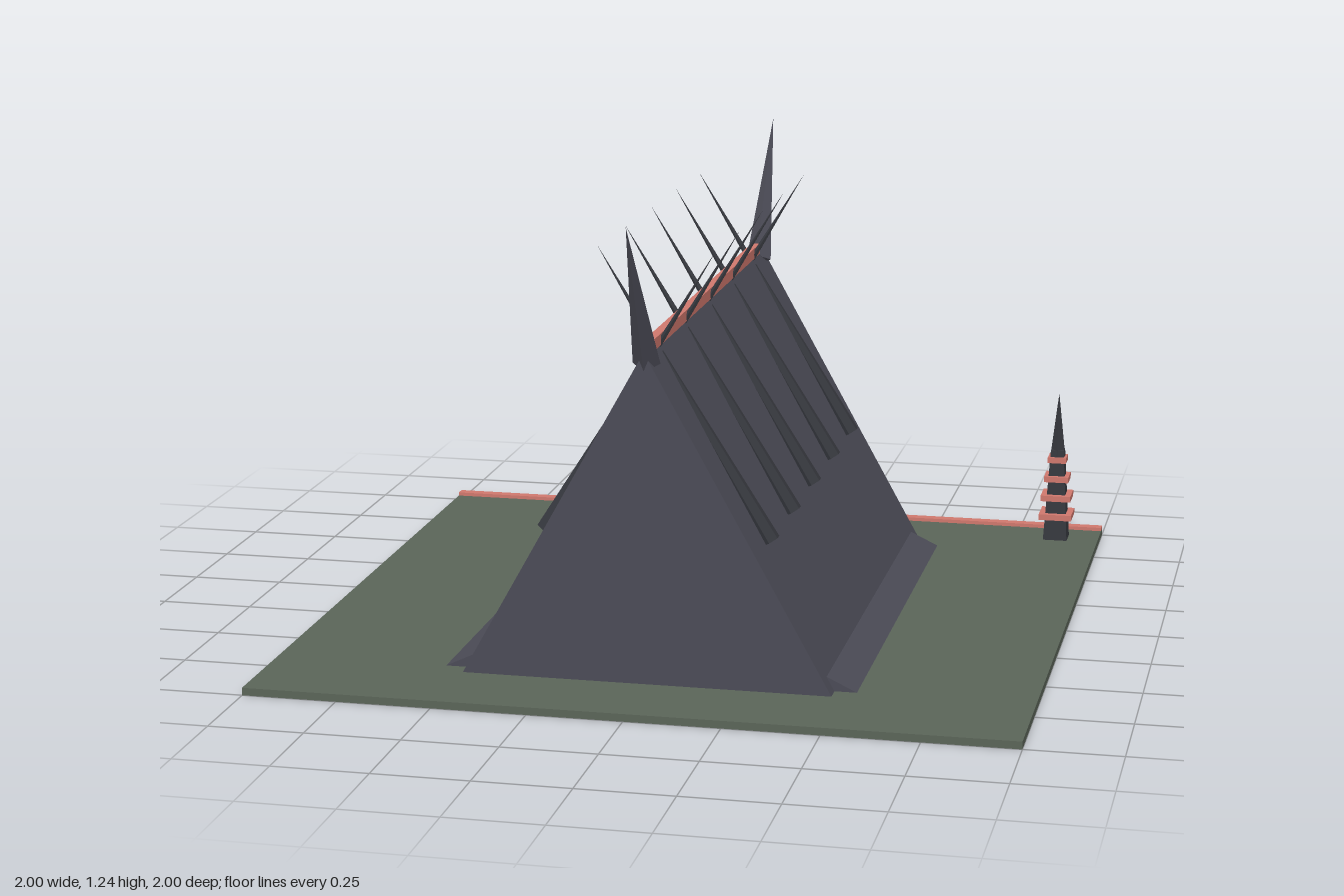
import * as THREE from 'three';

const mat = (name, color) => {
  const m = new THREE.MeshStandardMaterial({ color });
  m.name = name;
  return m;
};

export function createModel() {
  const model = new THREE.Group();
  model.name = 'spikedLonghouse';
  const slate = mat('slate', 0x4b4b56);
  const dark = mat('darkIron', 0x36383e);
  const coral = mat('coral', 0xcf776d);
  const moss = mat('moss', 0x5a6458);

  const add = (name, geometry, material, x = 0, y = 0, z = 0, parent = model) => {
    // Unshared vertices give flat faces
    const flat = geometry.index ? geometry.toNonIndexed() : geometry;
    flat.computeVertexNormals();
    const mesh = new THREE.Mesh(flat, material);
    mesh.name = name;
    mesh.position.set(x, y, z);
    parent.add(mesh);
    return mesh;
  };

  // Prism along z from a profile in x and y
  const prism = (points, halfLength) => {
    const shape = new THREE.Shape(points.map(([x, y]) => new THREE.Vector2(x, y)));
    return new THREE.ExtrudeGeometry(shape, { depth: 2 * halfLength, bevelEnabled: false })
      .translate(0, 0, -halfLength);
  };

  // Spike from a base centre to a tip
  const spike = (name, from, to, radius, sides, turn, material) => {
    const a = new THREE.Vector3(...from);
    const axis = new THREE.Vector3(...to).sub(a);
    const length = axis.length();
    const geo = new THREE.ConeGeometry(radius, length, sides).rotateY(turn).translate(0, length / 2, 0);
    const mesh = add(name, geo, material, ...from);
    mesh.quaternion.setFromUnitVectors(new THREE.Vector3(0, 1, 0), axis.normalize());
    return mesh;
  };

  // Ground slab and the kerb along its back edge
  add('ground', new THREE.BoxGeometry(2, 0.02, 2), moss, 0, 0.01, 0);
  add('backKerb', new THREE.BoxGeometry(2, 0.01, 0.03), coral, 0, 0.025, -0.985);

  // Steep A-frame hall
  add('hall', prism([[-0.485, 0.02], [0.485, 0.02], [0, 0.89]], 0.755), slate);
  add('ridgeBeam', new THREE.BoxGeometry(0.024, 0.03, 1.36), coral, 0, 0.895, 0);

  // Sloping skirts at the foot of both roofs
  add('leftSkirt', prism([[0.44, 0.02], [0.543, 0.02], [0.465, 0.057], [0.44, 0.057]], 0.71), slate);
  add('rightSkirt', prism([[-0.44, 0.057], [-0.465, 0.057], [-0.543, 0.02], [-0.44, 0.02]], 0.71), slate);

  // Pairs of crossing roof spikes
  for (let i = -2; i <= 2; i++) {
    for (const s of [1, -1]) {
      spike(s > 0 ? 'leftRoofSpike' : 'rightRoofSpike',
        [s * 0.298, 0.377, i * 0.302], [-s * 0.155, 1.13, i * 0.302], 0.026, 6, 0, dark);
    }
  }

  // Horns leaning out from the ridge ends
  for (const s of [1, -1]) {
    spike(s > 0 ? 'frontHorn' : 'backHorn', [0, 0.856, s * 0.722], [0, 1.24, s * 0.938], 0.036, 4, 0, slate);
  }

  // Narrow door marker on the back wall
  add('backDoor', new THREE.CylinderGeometry(0.006, 0.042, 0.42, 4), coral, 0, 0.272, -0.761);

  // Small ringed tower in the back corner
  const tower = new THREE.Group();
  tower.name = 'tower';
  tower.position.set(0.875, 0.02, -0.875);
  model.add(tower);
  const square = (top, bottom, h) =>
    new THREE.CylinderGeometry(top * Math.SQRT2, bottom * Math.SQRT2, h, 4).rotateY(Math.PI / 4);
  add('towerShaft', square(0.019, 0.035, 0.27), dark, 0, 0.135, 0, tower);
  add('towerSpire', new THREE.ConeGeometry(0.022, 0.19, 4), dark, 0, 0.345, 0, tower);
  [0.048, 0.044, 0.036, 0.027].forEach((r, i) =>
    add('towerRing', square(r, r, 0.017), coral, 0, 0.072 + i * 0.0565, 0, tower));

  return model;
}
